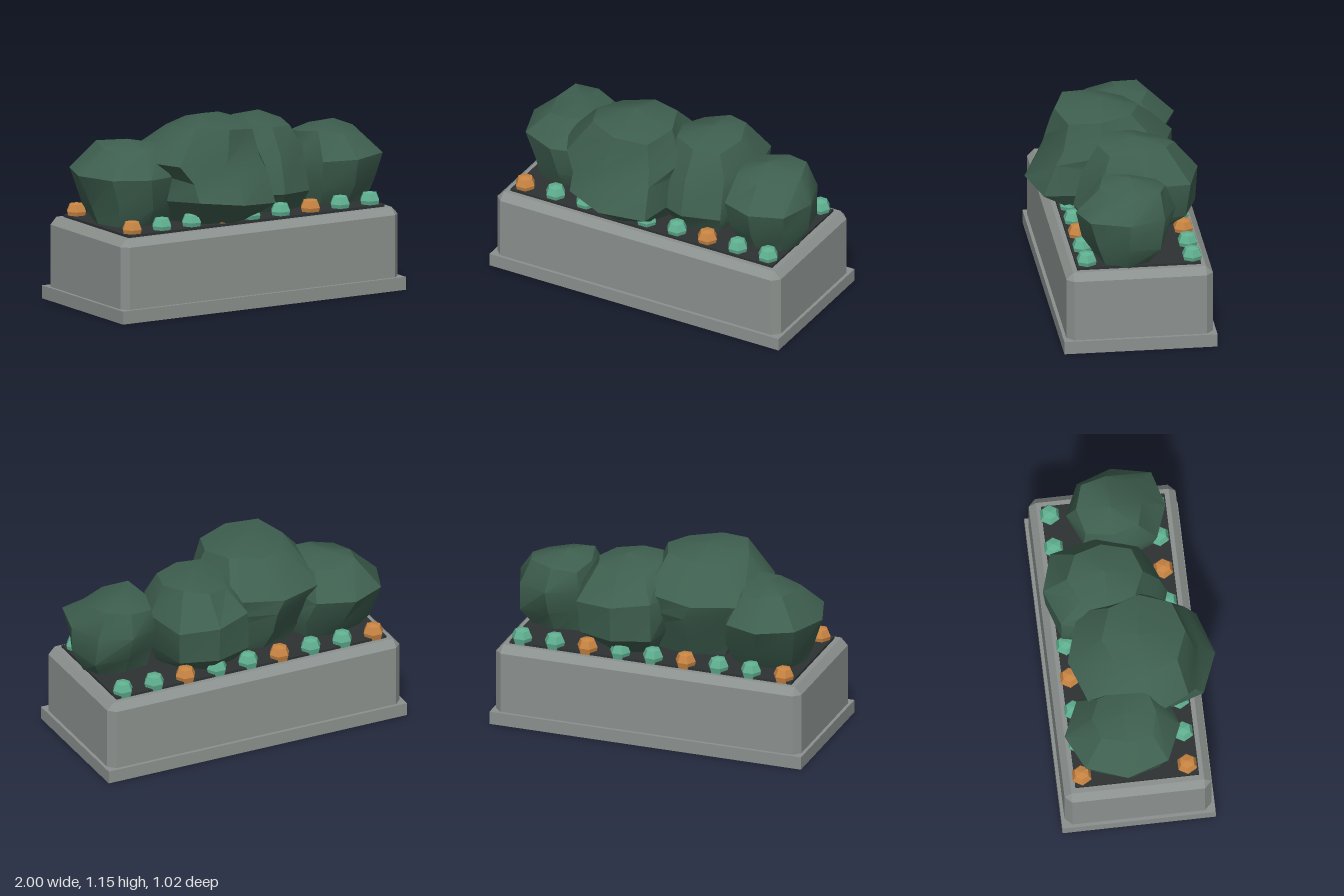
import * as THREE from 'three';
import { toCreasedNormals } from 'three/addons/utils/BufferGeometryUtils.js';

const Z0 = -0.045; // planter centre in depth

// Skin closed rings of points, capped by a point at the bottom and the top
function loft(rings, bottom, top, crease) {
  const n = rings[0].length, pos = [], idx = [];
  rings.forEach(r => r.forEach(p => pos.push(...p)));
  const b = rings.length * n, t = b + 1;
  pos.push(...bottom, ...top);
  for (let i = 0; i < n; i++) {
    const j = (i + 1) % n;
    for (let k = 0; k < rings.length - 1; k++) {
      const p = k * n, q = p + n;
      idx.push(p + i, q + i, p + j, p + j, q + i, q + j);
    }
    const l = (rings.length - 1) * n;
    idx.push(i, j, b, l + i, t, l + j);
  }
  const g = new THREE.BufferGeometry();
  g.setAttribute('position', new THREE.Float32BufferAttribute(pos, 3));
  g.setIndex(idx);
  return toCreasedNormals(g, crease);
}

// Rectangle with cut corners
function cutRect(y, X, Z, c) {
  return [[X, Z - c], [X - c, Z], [c - X, Z], [-X, Z - c],
    [-X, c - Z], [c - X, -Z], [X - c, -Z], [X, c - Z]].map(([x, z]) => [x, y, z + Z0]);
}

// Uneven eight-sided ring: height, x range, z range, depth of its widest point
function bushRing([y, x0, x1, z0, z1, zc = (z0 + z1) / 2], k, seed) {
  const xc = (x0 + x1) / 2, ring = [];
  for (let i = 0; i < 8; i++) {
    const a = i * Math.PI / 4;
    const wob = i % 2 ? 1.07 + 0.07 * Math.sin(seed * 2.3 + k * 1.9 + i * 2.7) : 1;
    const c = Math.cos(a) * wob, s = Math.sin(a) * wob;
    ring.push([
      xc + c * (x1 - x0) / 2,
      y + (i % 2 ? 0.025 * Math.sin(seed + k * 2.1 + i * 1.7) : 0),
      zc + s * (s > 0 ? z1 - zc : zc - z0)
    ]);
  }
  return ring;
}

const bushes = [
  { name: 'rightBush', top: [-0.65, 1.015, -0.1], rings: [
    [0.5, -0.87, -0.42, -0.25, 0.12], [0.63, -0.92, -0.38, -0.34, 0.2],
    [0.82, -0.99, -0.38, -0.46, 0.24], [0.975, -0.82, -0.47, -0.29, 0.1]] },
  { name: 'tallBush', top: [-0.2, 1.15, 0.04], rings: [
    [0.5, -0.44, 0.1, -0.22, 0.3], [0.66, -0.54, 0.15, -0.32, 0.51, 0.12],
    [0.81, -0.52, 0.13, -0.38, 0.42, 0.1], [0.9, -0.63, 0.15, -0.39, 0.385, 0.1],
    [1.095, -0.45, 0.07, -0.18, 0.33]] },
  { name: 'backBush', top: [0.25, 1.08, -0.11], rings: [
    [0.5, 0.02, 0.46, -0.32, 0.17], [0.64, -0.05, 0.53, -0.47, 0.27],
    [0.86, -0.06, 0.54, -0.485, 0.22], [1.03, 0.04, 0.44, -0.34, 0.12]] },
  { name: 'leftBush', top: [0.68, 1.0, -0.02], rings: [
    [0.5, 0.52, 0.91, -0.14, 0.18], [0.65, 0.47, 0.985, -0.23, 0.28],
    [0.81, 0.46, 0.995, -0.29, 0.315], [0.95, 0.52, 0.9, -0.23, 0.17]] }
];

export function createModel() {
  const model = new THREE.Group();
  const mat = (name, color) => {
    const m = new THREE.MeshStandardMaterial({ color });
    m.name = name;
    return m;
  };
  const stone = mat('stone', 0x8b918e);
  const soil = mat('soil', 0x2d3233);
  const leaf = mat('leaf', 0x3e5f4f);
  const mint = mat('mint', 0x60b091);
  const orange = mat('orange', 0xc98543);
  const add = (name, geo, material, x = 0, y = 0, z = 0) => {
    const m = new THREE.Mesh(geo, material);
    m.name = name;
    m.position.set(x, y, z);
    model.add(m);
    return m;
  };

  // Planter
  add('plinth', new THREE.BoxGeometry(2, 0.08, 0.93), stone, 0, 0.04, Z0);
  add('planterBody', loft([
    cutRect(0.07, 0.98, 0.445, 0.043),
    cutRect(0.462, 0.98, 0.445, 0.043),
    cutRect(0.506, 0.938, 0.403, 0.001)
  ], [0, 0.07, Z0], [0, 0.506, Z0], 0.1), stone);
  add('soilBed', new THREE.BoxGeometry(1.81, 0.03, 0.75), soil, 0, 0.506, Z0);

  // Shrubs
  bushes.forEach(({ name, top, rings }, s) => {
    const base = [top[0], 0.5, top[2]];
    add(name, loft(rings.map((r, k) => bushRing(r, k, s)), base, top, 0.55), leaf);
  });

  // Two rows of small six-sided blossoms, every third one orange
  const profile = [[0, 0.505], [0.055, 0.505], [0.065, 0.545], [0.046, 0.588], [0, 0.598]]
    .map(([r, y]) => new THREE.Vector2(r, y));
  const blossom = toCreasedNormals(new THREE.LatheGeometry(profile, 6).rotateY(Math.PI / 2), 0.1);
  for (const z of [0.265, -0.375]) {
    for (let i = 0; i < 9; i++) {
      add('blossom', blossom, i % 3 ? mint : orange, -0.84 + i * 0.21, 0, z);
    }
  }
  return model;
}
